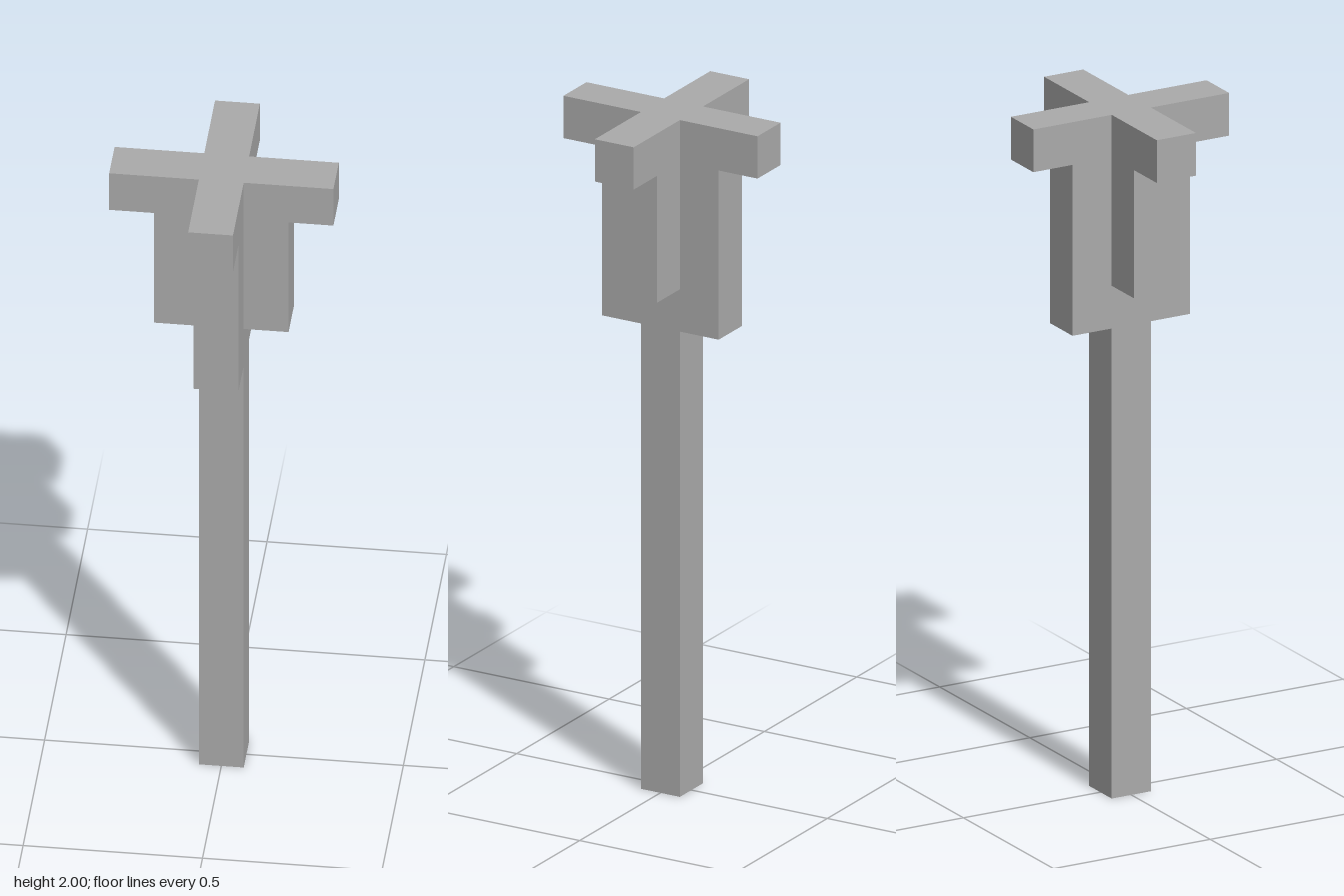
import * as THREE from 'three';

const W = 0.125; // thickness of every beam
const H = W / 2;

export function createModel() {
  const model = new THREE.Group();
  const grey = new THREE.MeshStandardMaterial({ color: 0xaaaaaa });
  grey.name = 'grey';

  // Tall square post
  const post = new THREE.Mesh(new THREE.BoxGeometry(W, 2, W), grey);
  post.name = 'post';
  post.position.y = 1;
  model.add(post);

  // Stepped bracket: an upright rib against the post with a short arm on top
  function addBracket(name, bottom, angle) {
    const profile = new THREE.Shape([
      [H, bottom], [H + W, bottom], [H + W, 2 - W],
      [H + 2 * W, 2 - W], [H + 2 * W, 2], [H, 2],
    ].map(([x, y]) => new THREE.Vector2(x, y)));
    const geometry = new THREE.ExtrudeGeometry(profile, { depth: W, bevelEnabled: false });
    geometry.translate(0, 0, -H);
    const bracket = new THREE.Mesh(geometry, grey);
    bracket.name = name;
    bracket.rotation.y = angle;
    model.add(bracket);
  }

  // Side brackets end higher than the front and back ones
  addBracket('leftBracket', 1.5, 0);
  addBracket('backBracket', 1.375, Math.PI / 2);
  addBracket('rightBracket', 1.5, Math.PI);
  addBracket('frontBracket', 1.375, -Math.PI / 2);

  return model;
}
